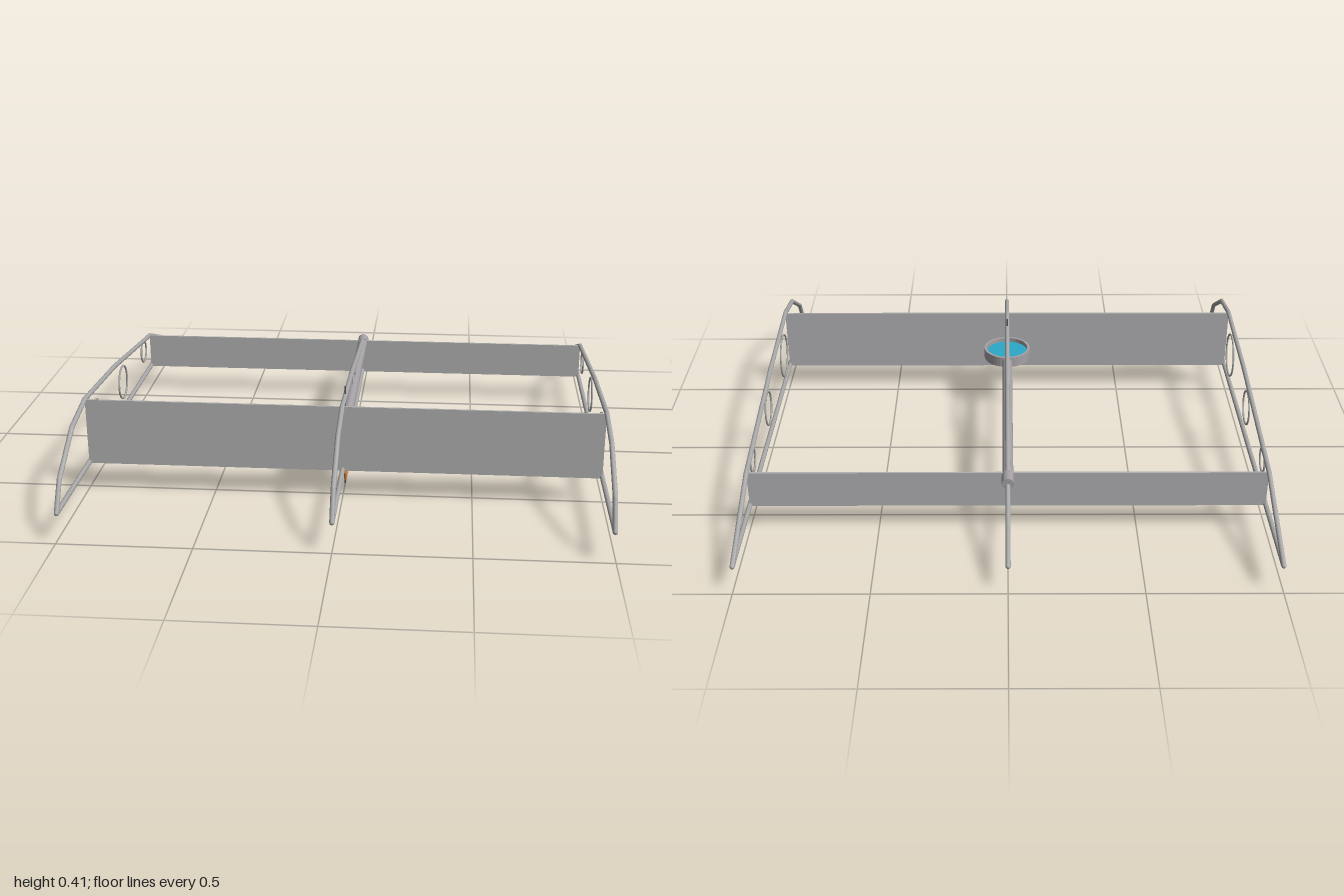
import * as THREE from 'three';

const mat = (name, color, side = THREE.FrontSide) => {
  const m = new THREE.MeshStandardMaterial({ color, side });
  m.name = name;
  return m;
};

export function createModel() {
  const frameGrey = mat('frame grey', 0xa8a8a8);
  const sparGrey = mat('spar grey', 0xb0b0b2);
  const ductGrey = mat('duct grey', 0xa5a1a5);
  const darkSteel = mat('dark steel', 0x4a4d50);
  const blueSteel = mat('blue steel', 0x4f6678);
  const teal = mat('impeller teal', 0x2ba8c8);
  const copper = mat('copper', 0xc47a3c);

  const model = new THREE.Group();
  model.name = 'wingFrame';

  const add = (parent, name, geometry, material, x = 0, y = 0, z = 0) => {
    const mesh = new THREE.Mesh(geometry, material);
    mesh.name = name;
    mesh.position.set(x, y, z);
    parent.add(mesh);
    return mesh;
  };

  // Straight rod between two points of the side profile, given as [z, y]
  const rod = (parent, name, a, b, radius, material) => {
    const from = new THREE.Vector3(0, a[1], a[0]);
    const to = new THREE.Vector3(0, b[1], b[0]);
    const dir = to.clone().sub(from);
    const mesh = add(parent, name, new THREE.CylinderGeometry(radius, radius, dir.length(), 12), material);
    mesh.position.copy(from).lerp(to, 0.5);
    mesh.quaternion.setFromUnitVectors(new THREE.Vector3(0, 1, 0), dir.normalize());
  };

  // Ribs: aerofoil outline of rods with three lightening rings
  const profile = [[0.99, 0.117], [0.925, 0.22], [0.725, 0.34], [0.53, 0.378],
    [0.06, 0.345], [-0.6, 0.262], [-0.99, 0.117]];
  const holes = [[0.4, 0.23, 0.093], [-0.06, 0.23, 0.07], [-0.46, 0.23, 0.048]];
  const tube = 0.0095;
  for (const [name, x] of [['rightRib', -0.99], ['centreRib', 0], ['leftRib', 0.99]]) {
    const rib = new THREE.Group();
    rib.name = name;
    rib.position.x = x;
    profile.forEach((p, i) => {
      rod(rib, i < profile.length - 1 ? 'upperRod' : 'lowerRod', p, profile[(i + 1) % profile.length], tube, frameGrey);
      add(rib, 'joint', new THREE.SphereGeometry(tube, 12, 8), frameGrey, 0, p[1], p[0]);
    });
    for (const [z, y, r] of holes) {
      add(rib, 'lighteningRing', new THREE.TorusGeometry(r, 0.004, 6, 40), frameGrey, 0, y, z).rotation.y = Math.PI / 2;
    }
    model.add(rib);
  }

  // Full-span spars
  for (const [name, z, top] of [['frontSpar', 0.527, 0.376], ['rearSpar', -0.597, 0.262]]) {
    add(model, name, new THREE.BoxGeometry(1.98, top - 0.113, 0.009), sparGrey, 0, (top + 0.113) / 2, z);
  }

  // Fan housing: open ring with an impeller disc
  const fan = new THREE.Group();
  fan.name = 'fan';
  fan.position.z = 0.397;
  const ringProfile = [[0.089, 0.227], [0.1, 0.227], [0.1, 0.272], [0.089, 0.272], [0.089, 0.227]]
    .map(([r, y]) => new THREE.Vector2(r, y));
  const ring = new THREE.LatheGeometry(ringProfile, 40).toNonIndexed();
  ring.computeVertexNormals();
  add(fan, 'fanRing', ring, ductGrey);
  add(fan, 'impellerDisc', new THREE.CylinderGeometry(0.089, 0.089, 0.008, 40), teal, 0, 0.25, 0);

  // Vertical drive shaft with its lower fittings
  const fittings = [
    ['driveShaft', 0.003, 0.003, 0, 0.41, darkSteel],
    ['shaftSleeve', 0.007, 0.007, 0.095, 0.25, darkSteel],
    ['topHub', 0.01, 0.01, 0.25, 0.278, darkSteel],
    ['coupling', 0.013, 0.008, 0.078, 0.097, blueSteel],
    ['couplingNeck', 0.006, 0.006, 0.063, 0.078, blueSteel],
    ['upperTip', 0.004, 0.012, 0.045, 0.067, copper],
    ['lowerTip', 0.007, 0.004, 0.015, 0.045, copper],
  ];
  for (const [name, rTop, rBottom, y0, y1, material] of fittings) {
    add(fan, name, new THREE.CylinderGeometry(rTop, rBottom, y1 - y0, 12), material, 0, (y0 + y1) / 2, 0);
  }
  model.add(fan);

  // Air duct running aft, ending in a collar
  rod(model, 'airDuct', [0.3, 0.249], [-0.6, 0.249], 0.021, ductGrey);
  rod(model, 'ductCollar', [-0.595, 0.249], [-0.658, 0.249], 0.0235, ductGrey);

  return model;
}
